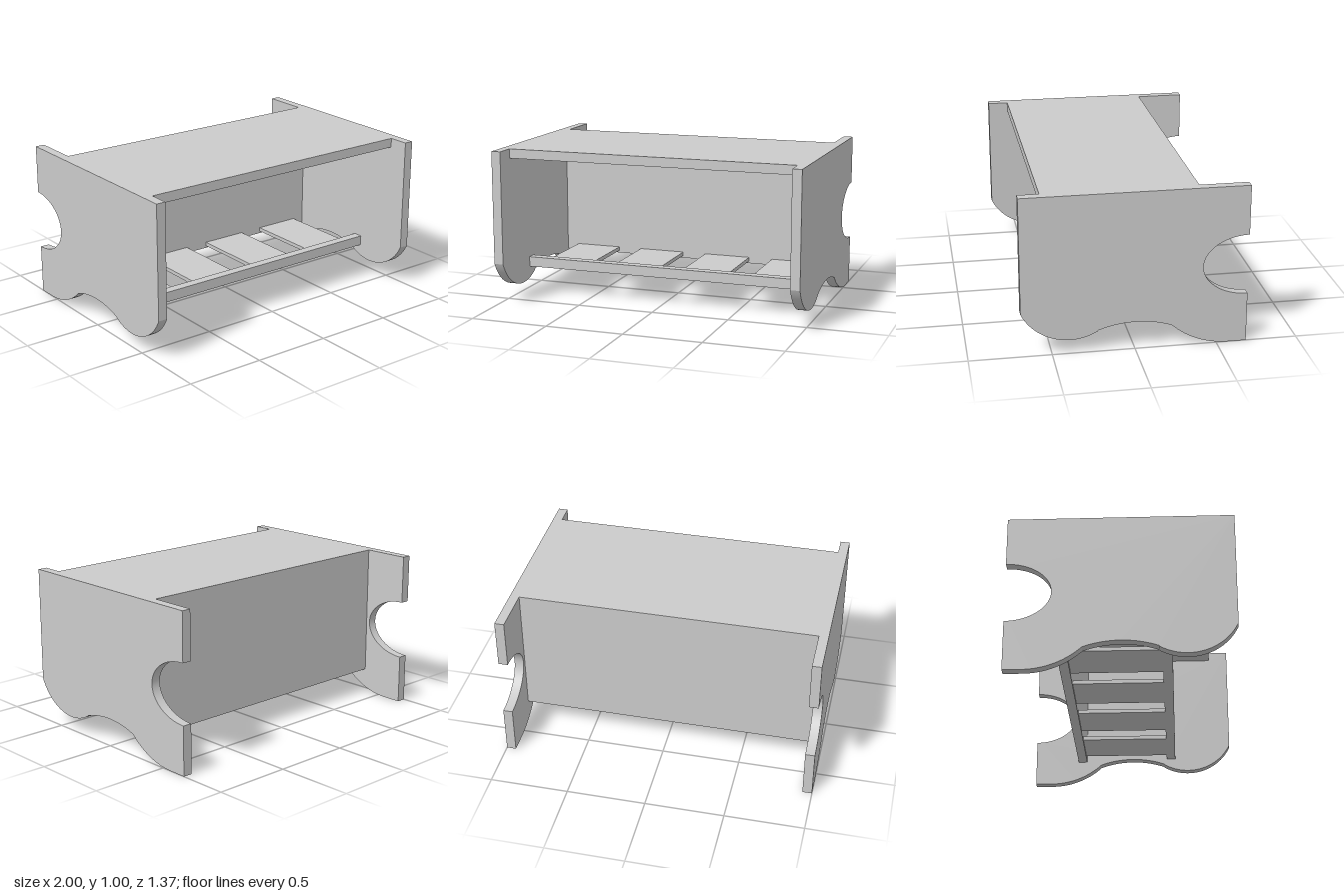
import * as THREE from 'three';
import { toCreasedNormals } from 'three/addons/utils/BufferGeometryUtils.js';

const T = 0.06; // board thickness
const INNER = 0.94; // inner face of the side panels

export function createModel() {
  const group = new THREE.Group();
  const material = new THREE.MeshStandardMaterial({ color: 0xcccccc });

  // A board given by its lower and upper limits on each axis
  function board(name, [x0, x1], [y0, y1], [z0, z1]) {
    const mesh = new THREE.Mesh(new THREE.BoxGeometry(x1 - x0, y1 - y0, z1 - z0), material);
    mesh.position.set((x0 + x1) / 2, (y0 + y1) / 2, (z0 + z1) / 2);
    mesh.name = name;
    group.add(mesh);
  }

  // Side profile, drawn with the front towards -x of the shape
  const s = new THREE.Shape();
  const arc = (cx, cy, r, ax, ay, bx, by, clockwise) =>
    s.absarc(cx, cy, r, Math.atan2(ay - cy, ax - cx), Math.atan2(by - cy, bx - cx), clockwise);
  s.moveTo(-0.685, 1);
  s.lineTo(-0.685, 0.275);
  arc(-0.39, 0.414, 0.326, -0.685, 0.275, -0.224, 0.135, false); // rounded front foot
  arc(0, -0.487, 0.663, -0.224, 0.137, 0.224, 0.137, true); // arch between the feet
  arc(0.57, 0.505, 0.505, 0.224, 0.137, 0.57, 0, false); // sweep to the back foot
  s.lineTo(0.685, 0);
  s.lineTo(0.685, 0.313);
  s.absellipse(0.685, 0.502, 0.275, 0.189, -Math.PI / 2, Math.PI / 2, true); // back cut-out
  s.lineTo(0.685, 1);
  s.closePath();

  const extruded = new THREE.ExtrudeGeometry(s, { depth: T, bevelEnabled: false, curveSegments: 28 });
  extruded.rotateY(Math.PI / 2);
  const panel = toCreasedNormals(extruded, 0.3);
  for (const [name, x] of [['leftSidePanel', INNER], ['rightSidePanel', -1]]) {
    const mesh = new THREE.Mesh(panel, material);
    mesh.position.x = x;
    mesh.name = name;
    group.add(mesh);
  }

  // Top, back and front rail span between the side panels
  const span = [-INNER, INNER];
  board('topBoard', span, [1 - T, 1], [-0.385, 0.555]);
  board('backPanel', span, [0.16, 1 - T], [-0.385, -0.325]);
  board('frontRail', span, [0.175, 0.24], [0.24, 0.3]);

  // Four shelf slats from the back panel to the front rail
  for (let i = 0; i < 4; i++) {
    const x = (i - 1.5) * 0.47;
    board('shelfSlat' + (i + 1), [x - 0.155, x + 0.155], [0.175, 0.2], [-0.325, 0.24]);
  }

  return group;
}
